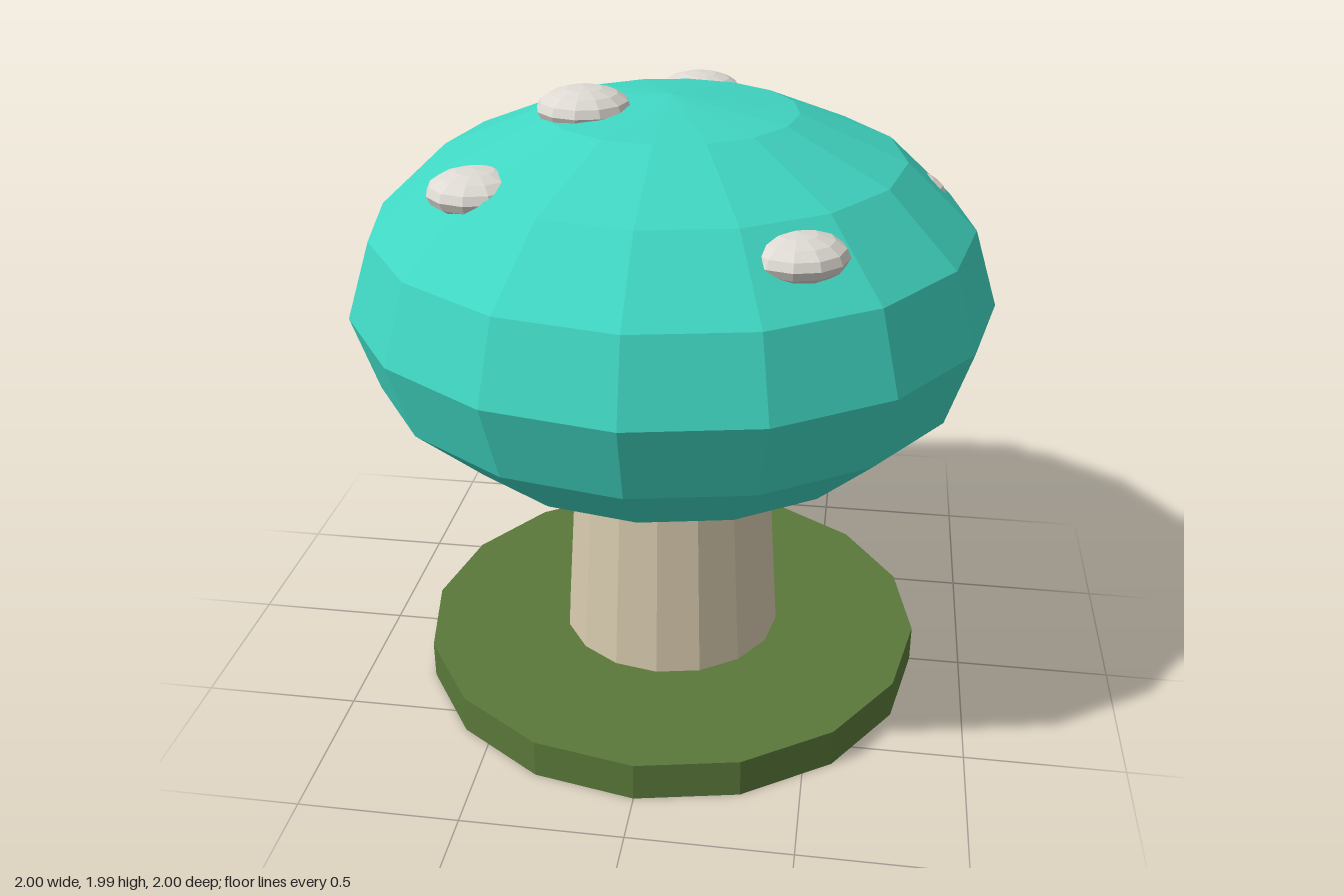
import * as THREE from 'three';

const flat = (name, color) => {
  const m = new THREE.MeshStandardMaterial({ color, flatShading: true });
  m.name = name;
  return m;
};

export function createModel() {
  const group = new THREE.Group();
  group.name = 'mushroom';

  const teal = flat('capTeal', 0x40d6c2);
  const cream = flat('stemCream', 0xd6c9ad);
  const green = flat('grassGreen', 0x5a783a);
  const white = flat('spotWhite', 0xdedad3);

  const add = (name, geometry, material, x, y, z) => {
    const mesh = new THREE.Mesh(geometry, material);
    mesh.name = name;
    mesh.position.set(x, y, z);
    group.add(mesh);
    return mesh;
  };

  // Ground disc
  add('grassBase', new THREE.CylinderGeometry(0.833, 0.833, 0.125, 16), green, 0, 0.0625, 0);

  // Tapered stem, running from inside the base up into the cap
  add('stem', new THREE.CylinderGeometry(0.316, 0.372, 0.88, 16), cream, 0, 0.445, 0);

  // Faceted, squashed cap
  const capGeometry = new THREE.SphereGeometry(1, 16, 8).scale(1, 0.62, 1);
  add('cap', capGeometry, teal, 0, 1.337, 0);

  // Flattened spots, partly sunk into the cap
  const spotGeometry = new THREE.SphereGeometry(0.143, 12, 8).scale(1, 0.45, 1);
  const spots = [
    [-0.25, 1.926, 0.08],
    [0, 1.8, -0.672],
    [-0.498, 1.765, 0.413],
    [0.418, 1.69, 0.596],
    [0.692, 1.62, -0.207],
  ];
  spots.forEach(([x, y, z], i) => add(`spot${i + 1}`, spotGeometry, white, x, y, z));

  return group;
}
